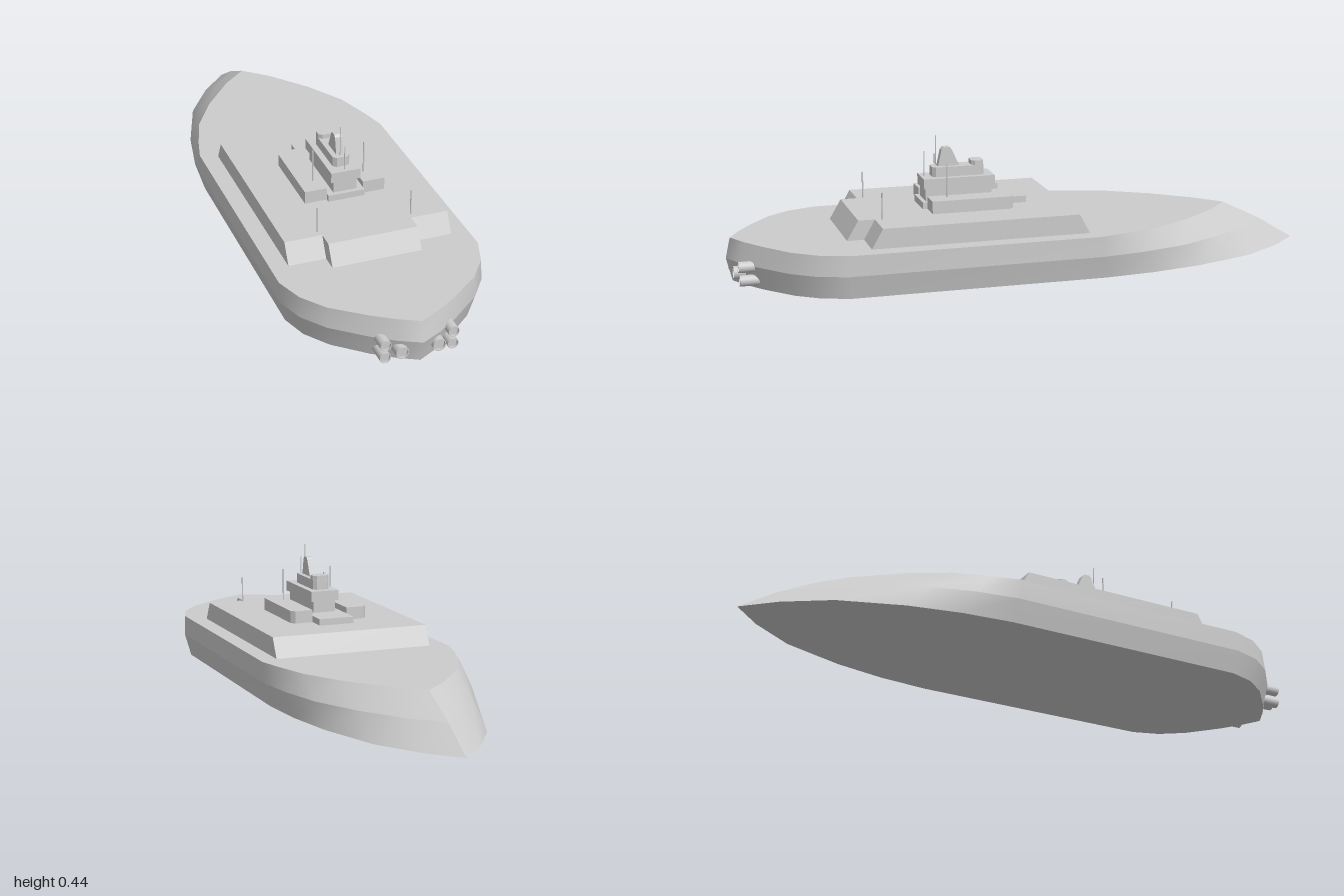
import * as THREE from 'three';
import { mergeGeometries } from 'three/addons/utils/BufferGeometryUtils.js';

const material = new THREE.MeshStandardMaterial({ color: 0xcccccc });

// Half outlines [x, z] from bow tip to stern, one per level
const levels = [
  { y: 0, pts: [[0, -1], [0.095, -0.9], [0.19, -0.755], [0.262, -0.545], [0.297, -0.37], [0.313, -0.2],
    [0.313, 0.645], [0.285, 0.735], [0.228, 0.815], [0.13, 0.9], [0.065, 0.945], [0, 0.98]] },
  { y: 0.077, pts: [[0, -0.875], [0.09, -0.785], [0.19, -0.645], [0.27, -0.485], [0.312, -0.33], [0.333, -0.19],
    [0.333, 0.655], [0.303, 0.75], [0.243, 0.832], [0.14, 0.917], [0.07, 0.965], [0, 1]] },
  { y: 0.145, pts: [[0, -0.737], [0.085, -0.66], [0.19, -0.53], [0.27, -0.395], [0.31, -0.27], [0.333, -0.18],
    [0.333, 0.65], [0.3, 0.745], [0.24, 0.825], [0.137, 0.905], [0.068, 0.95], [0, 0.985]] },
];

// Closed loop: down the left side, back up the right side
const fullLoop = (pts) => [...pts, ...pts.slice(0, -1).reverse().map(([x, z]) => [-x, z])];

// One band of plating between two levels, smooth along its length
function band(lower, upper) {
  const a = fullLoop(lower.pts), b = fullLoop(upper.pts);
  const pos = [], idx = [];
  a.forEach(([x, z], i) => {
    pos.push(x, lower.y, z, b[i][0], upper.y, b[i][1]);
    if (i < a.length - 1) {
      const k = 2 * i;
      idx.push(k, k + 1, k + 2, k + 1, k + 3, k + 2);
    }
  });
  const g = new THREE.BufferGeometry();
  g.setAttribute('position', new THREE.Float32BufferAttribute(pos, 3));
  g.setIndex(idx);
  g.computeVertexNormals();
  return g;
}

// Flat cap over a level, facing up or down
function cap({ y, pts }, dir) {
  const loop = fullLoop(pts).slice(0, -1);
  const shape = new THREE.Shape(loop.map(([x, z]) => new THREE.Vector2(x, -dir * z)));
  return new THREE.ShapeGeometry(shape).rotateX(-dir * Math.PI / 2).translate(0, y, 0);
}

// Side profile [z, y] extruded across x
function profile(points, x0, x1) {
  const shape = new THREE.Shape(points.map(([z, y]) => new THREE.Vector2(z, y)));
  return new THREE.ExtrudeGeometry(shape, { depth: x1 - x0, bevelEnabled: false })
    .rotateY(-Math.PI / 2).translate(x1, 0, 0);
}

// Plan outline [x, z] extruded upward
function plan(points, y0, y1) {
  const shape = new THREE.Shape(points.map(([x, z]) => new THREE.Vector2(x, -z)));
  return new THREE.ExtrudeGeometry(shape, { depth: y1 - y0, bevelEnabled: false })
    .rotateX(-Math.PI / 2).translate(0, y0, 0);
}

// Box given by its limits
function box(x0, x1, y0, y1, z0, z1) {
  return new THREE.BoxGeometry(x1 - x0, y1 - y0, z1 - z0)
    .translate((x0 + x1) / 2, (y0 + y1) / 2, (z0 + z1) / 2);
}

export function createModel() {
  const group = new THREE.Group();
  const add = (name, geometry) => {
    const mesh = new THREE.Mesh(geometry, material);
    mesh.name = name;
    group.add(mesh);
    return mesh;
  };

  // Hull
  add('hullLowerBand', band(levels[0], levels[1]));
  add('hullUpperBand', band(levels[1], levels[2]));
  add('hullBottom', cap(levels[0], -1));
  add('deck', cap(levels[2], 1));

  // Deckhouse with sloped ends, longer in the middle
  const house = (zTop, zBase) => [[-0.155, 0.145], [zBase, 0.145], [zTop, 0.21], [-0.12, 0.21]];
  add('deckhouseCentre', profile(house(0.59, 0.628), -0.15, 0.15));
  for (const [name, x0, x1] of [['Left', 0.15, 0.275], ['Right', -0.275, -0.15]]) {
    add('deckhouse' + name, profile(house(0.535, 0.572), x0, x1));
  }

  // Stepped bridge
  add('bridgeBase', box(-0.062, 0.062, 0.21, 0.232, 0, 0.355));
  for (const s of [1, -1]) {
    const outline = [[0.062, 0.065], [0.125, 0.065], [0.137, 0.08], [0.137, 0.34], [0.062, 0.34]];
    add(s > 0 ? 'bridgeWingLeft' : 'bridgeWingRight',
      plan(outline.map(([x, z]) => [s * x, z]), 0.21, 0.252));
  }
  add('towerLower', box(-0.04, 0.04, 0.232, 0.272, 0.115, 0.34));
  add('towerUpper', box(-0.05, 0.05, 0.272, 0.307, 0.105, 0.347));

  // Chamfered top platform with a raised cabin at the bow end
  const chamfered = (w, c, z0, z1) => [
    [-c, z0], [c, z0], [w, z0 + w - c], [w, z1 - w + c],
    [c, z1], [-c, z1], [-w, z1 - w + c], [-w, z0 + w - c],
  ];
  add('topPlatform', plan(chamfered(0.029, 0.018, 0.135, 0.312), 0.307, 0.34));
  add('topCabin', plan(chamfered(0.029, 0.018, 0.137, 0.178), 0.34, 0.355));

  // Tapered funnel
  add('funnel', profile([[0.218, 0.34], [0.29, 0.34], [0.278, 0.395], [0.27, 0.403], [0.25, 0.403], [0.243, 0.395]],
    -0.012, 0.012));

  // Masts: x, z, foot, top
  const mast = (name, x, z, y0, y1, r) =>
    add(name, new THREE.CylinderGeometry(r, r, y1 - y0, 8).translate(x, (y0 + y1) / 2, z));
  mast('mainMast', 0, 0.295, 0.307, 0.443, 0.0017);
  mast('foreMast', 0, 0.335, 0.307, 0.392, 0.0017);
  for (const s of [1, -1]) {
    const side = s > 0 ? 'Left' : 'Right';
    mast('wingMast' + side, s * 0.088, 0.278, 0.252, 0.362, 0.0026);
    mast('sternMast' + side, s * 0.158, 0.512, 0.21, 0.298, 0.0026);

    // Stern nozzles with a recessed mouth: x, y, radius, rear z
    [[0.11, 0.073, 0.018, 0.975], [0.11, 0.028, 0.018, 0.972], [0.06, 0.043, 0.021, 0.985]]
      .forEach(([x, y, r, z], i) => {
        const bore = r * 0.85;
        const parts = [
          new THREE.CylinderGeometry(r, r, 0.07, 24, 1, true).rotateX(Math.PI / 2).translate(0, 0, -0.035),
          new THREE.RingGeometry(bore, r, 24),
          new THREE.CylinderGeometry(bore, bore, 0.008, 24, 1, true).scale(-1, 1, 1)
            .rotateX(Math.PI / 2).translate(0, 0, -0.004),
          new THREE.CircleGeometry(bore, 24).translate(0, 0, -0.008),
        ];
        // Turn the mirrored bore inside out so it shows from within
        const n = parts[2].index.array;
        for (let k = 0; k < n.length; k += 3) [n[k], n[k + 1]] = [n[k], n[k + 1]];
        add('nozzle' + side + (i + 1), mergeGeometries(parts)).position.set(s * x, y, z);
      });
  }
  return group;
}
